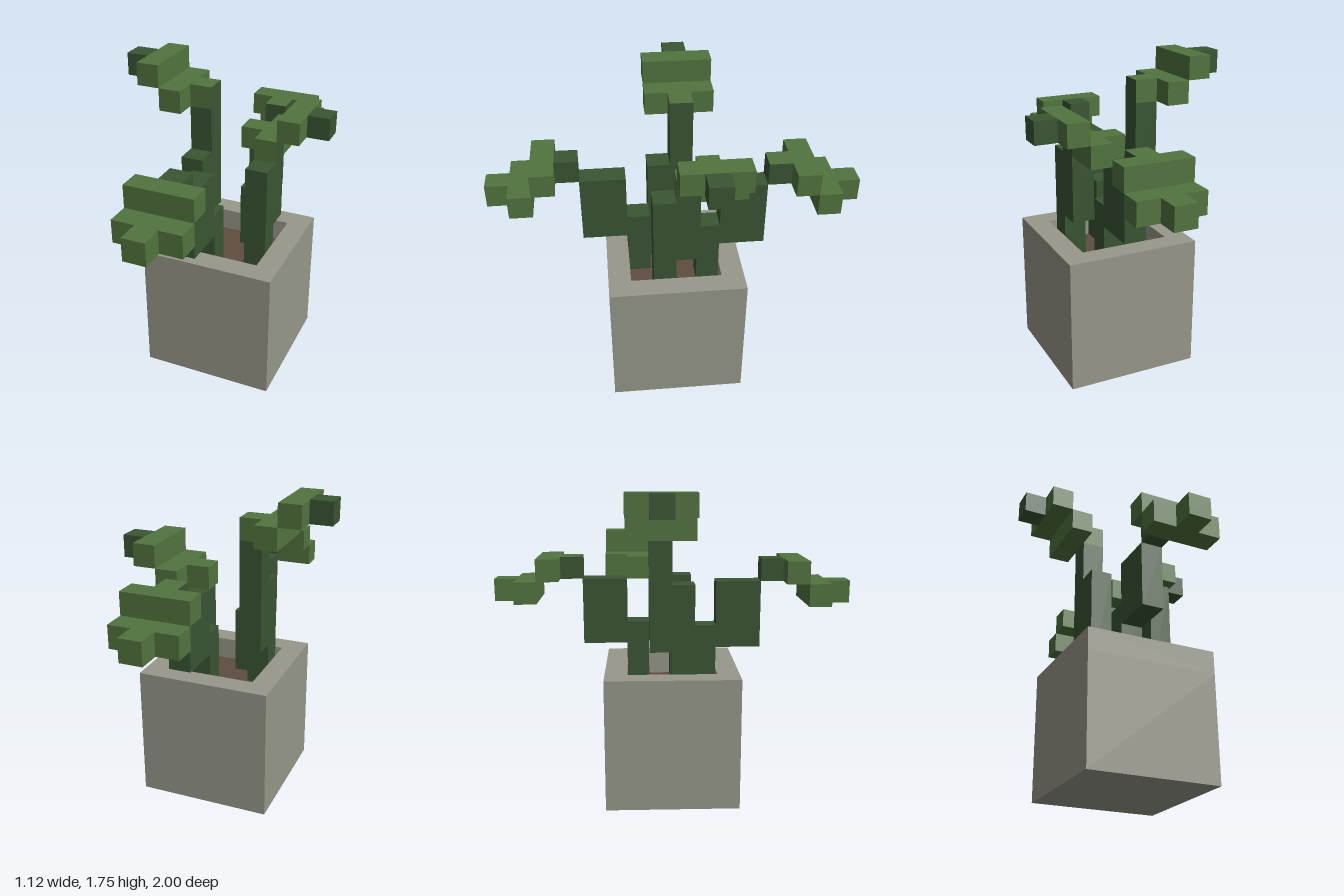
import * as THREE from 'three';

const mat = (name, color) => {
  const m = new THREE.MeshStandardMaterial({ color });
  m.name = name;
  return m;
};

export function createModel() {
  const root = new THREE.Group();
  root.name = 'pottedPlant';
  const leaf = mat('leafGreen', 0x52743f);
  const stem = mat('stemGreen', 0x3a5533);
  const stone = mat('potStone', 0x97988a);
  const earth = mat('soilBrown', 0x5f4d40);

  // Box from its low and high corners
  const box = (parent, name, material, [x0, y0, z0], [x1, y1, z1]) => {
    const m = new THREE.Mesh(new THREE.BoxGeometry(x1 - x0, y1 - y0, z1 - z0), material);
    m.position.set((x0 + x1) / 2, (y0 + y1) / 2, (z0 + z1) / 2);
    m.name = name;
    parent.add(m);
  };
  const plant = (name) => {
    const g = new THREE.Group();
    g.name = name;
    root.add(g);
    return g;
  };

  // Pot: solid body, hollow rim and soil surface
  box(root, 'potBody', stone, [-0.3125, 0, -0.375], [0.4375, 0.62, 0.375]);
  const rect = (C, w) => new C([[-w, -w], [w, -w], [w, w], [-w, w]].map(([x, y]) => new THREE.Vector2(x, y)));
  const outline = rect(THREE.Shape, 0.375);
  outline.holes.push(rect(THREE.Path, 0.25));
  const rim = new THREE.Mesh(new THREE.ExtrudeGeometry(outline, { depth: 0.13, bevelEnabled: false }), stone);
  rim.rotation.x = -Math.PI / 2;
  rim.position.set(0.0625, 0.62, 0);
  rim.name = 'potRim';
  root.add(rim);
  box(root, 'soil', earth, [-0.1875, 0.61, -0.25], [0.3125, 0.625, 0.25]);

  // Front and back plants: stepped stem, short neck, drooping leaf
  for (const [name, cx, s] of [['frontPlant', 0, 1], ['backPlant', 0.125, -1]]) {
    const g = plant(name);
    const part = (n, m, w, y0, y1, a, b) =>
      box(g, n, m, [cx - w, y0, Math.min(s * a, s * b)], [cx + w, y1, Math.max(s * a, s * b)]);
    const neck = s > 0 ? stem : [stem, stem, leaf, stem, stem, stem];
    part('lowerStem', stem, 0.0625, 0.62, 1, 0.125, 0.25);
    part('upperStem', stem, 0.0625, 0.875, 1.25, 0.25, 0.5);
    part('neck', neck, 0.0625, 1.25, 1.375, 0.5, 0.625);
    part('upperLeaf', leaf, 0.1875, 1.25, 1.375, 0.625, 0.75);
    part('lowerLeaf', leaf, 0.1875, 1.125, 1.25, 0.75, 0.875);
    part('leafTip', leaf, 0.0625, 1.125, 1.25, 0.875, 1);
  }

  // Face order: +x, -x, +y, -y, +z, -z
  const darkSide = [stem, leaf, leaf, leaf, leaf, leaf];

  // Left plant
  const left = plant('leftPlant');
  box(left, 'lowerStem', stem, [0.1875, 0.62, 0], [0.3125, 1.25, 0.125]);
  box(left, 'upperStem', stem, [0.1875, 0.875, -0.125], [0.3125, 1.25, 0]);
  box(left, 'neck', darkSide, [0.1875, 1.25, -0.125], [0.3125, 1.375, 0]);
  box(left, 'lowerLeaf', leaf, [0.1875, 1.25, -0.375], [0.3125, 1.375, -0.125]);
  box(left, 'leafStub', leaf, [0.0625, 1.25, -0.25], [0.1875, 1.375, -0.125]);
  box(left, 'upperLeaf', leaf, [0.3125, 1.375, -0.375], [0.4375, 1.5, 0]);
  box(left, 'leafTip', stem, [0.4375, 1.375, -0.25], [0.5625, 1.5, -0.125]);

  // Right plant, the tallest
  const right = plant('rightPlant');
  box(right, 'lowerStem', stem, [-0.1875, 0.62, 0], [-0.0625, 1.25, 0.125]);
  box(right, 'upperStem', stem, [-0.1875, 0.875, -0.125], [-0.0625, 1.5, 0]);
  box(right, 'neck', darkSide, [-0.1875, 1.5, -0.125], [-0.0625, 1.625, 0]);
  box(right, 'lowerLeaf', leaf, [-0.3125, 1.5, -0.25], [-0.1875, 1.625, 0.125]);
  box(right, 'upperLeaf', leaf, [-0.4375, 1.625, -0.25], [-0.3125, 1.75, 0.125]);
  box(right, 'leafTip', stem, [-0.5625, 1.625, -0.125], [-0.4375, 1.75, 0]);

  return root;
}
